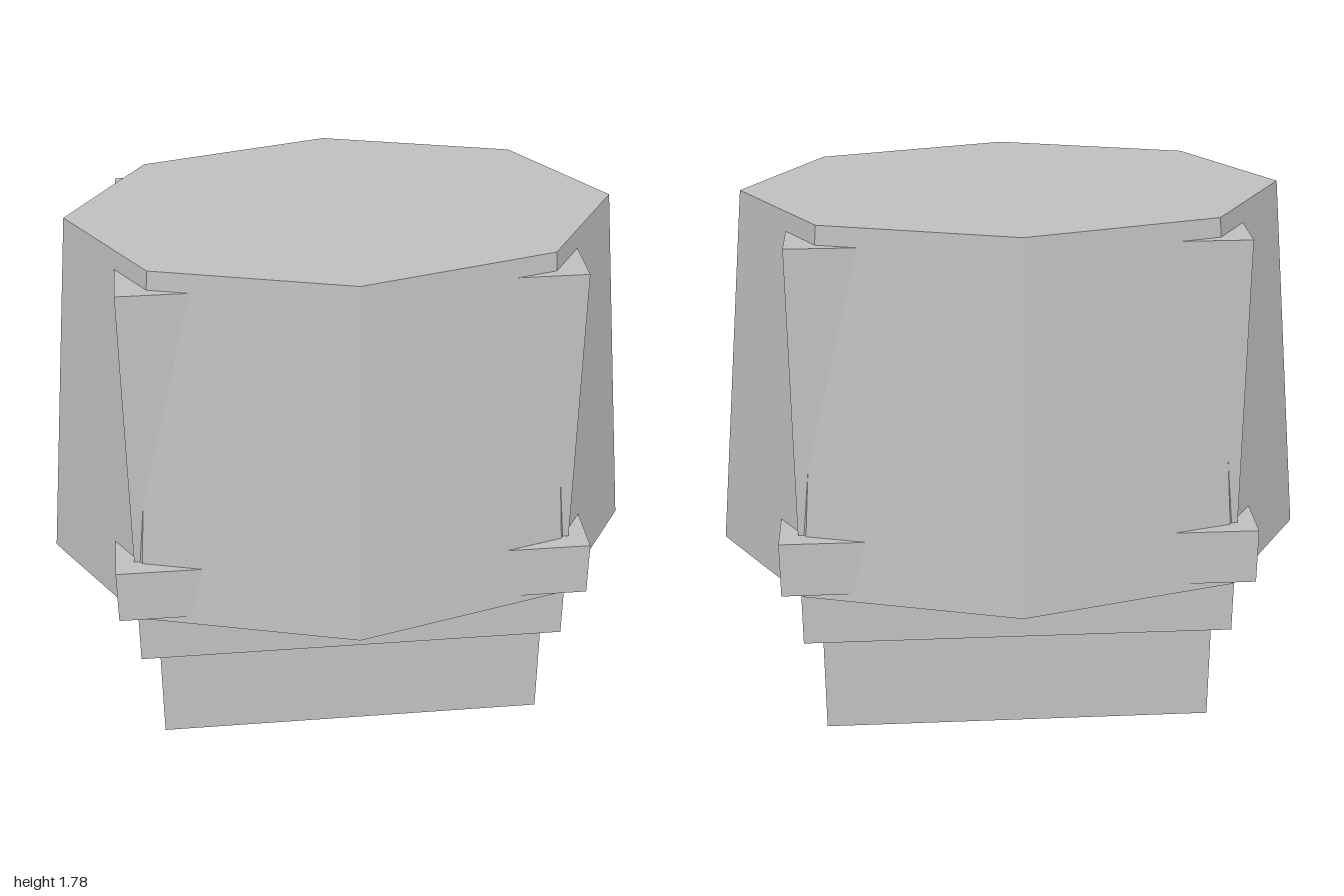
import * as THREE from 'three';

export function createModel() {
  const group = new THREE.Group();
  const grey = new THREE.MeshStandardMaterial({ color: 0xc0c0c0, flatShading: true });
  grey.name = 'plain grey';

  const add = (name, geometry) => {
    const mesh = new THREE.Mesh(geometry, grey);
    mesh.name = name;
    group.add(mesh);
  };
  // Centred block between two heights
  const block = (name, width, depth, y0, y1) =>
    add(name, new THREE.BoxGeometry(width, y1 - y0, depth).translate(0, (y0 + y1) / 2, 0));

  // Stepped foot, inner column and the band whose corners break through the shell
  block('foot', 1.31, 0.805, 0, 0.35);
  block('column', 1.436, 0.875, 0.35, 1.72);
  block('cornerBand', 1.556, 1.0, 0.565, 0.753);

  // Tapered eight-sided shell, flattened front to back
  const shell = new THREE.CylinderGeometry(0.874, 1, 1.245, 8);
  shell.scale(1, 1, 0.648).translate(0, 0.537 + 1.245 / 2, 0);
  add('shell', shell);

  return group;
}
